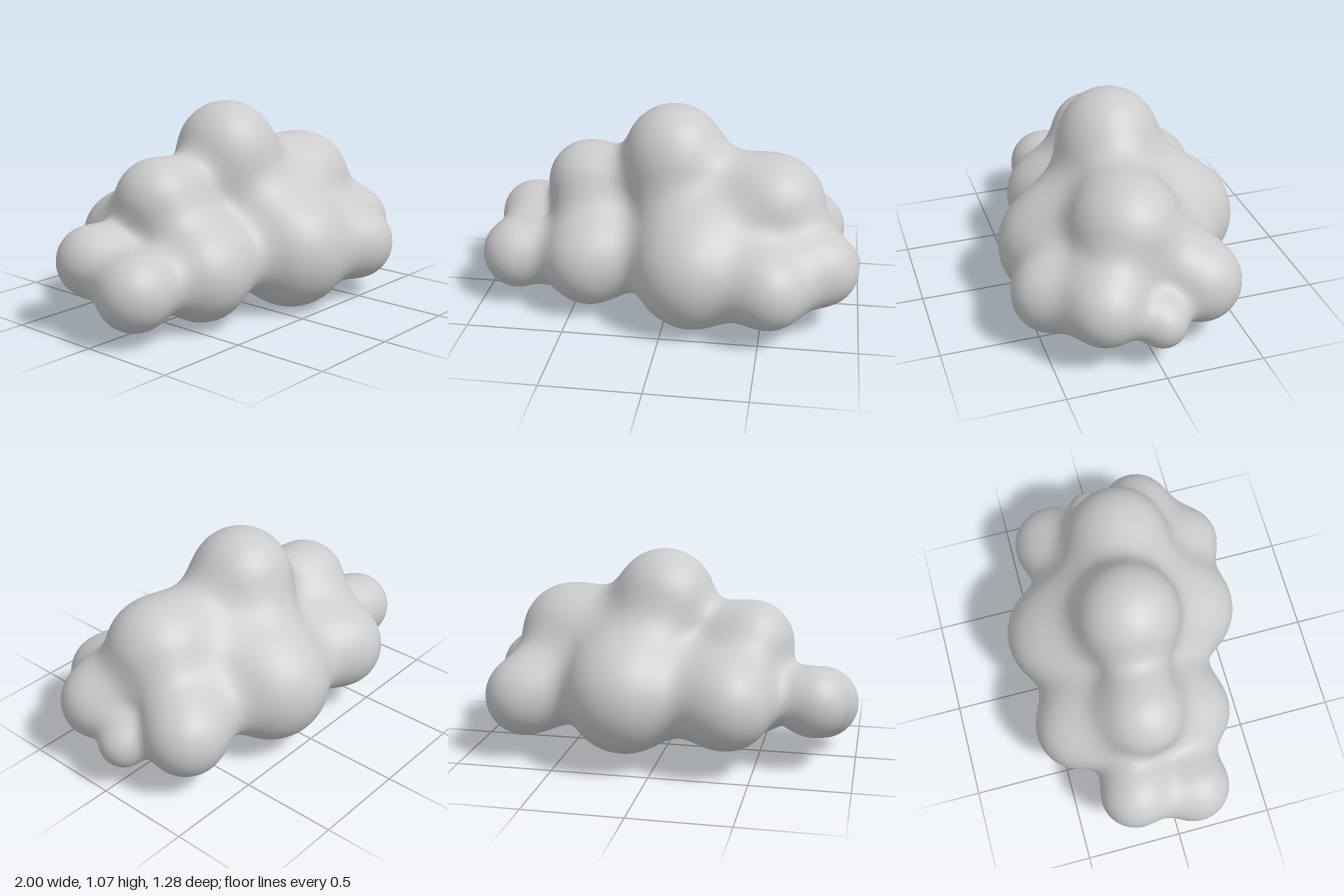
import * as THREE from 'three';

// Puffs of the cloud: x, y, z, radius, blend width
const puffs = [
  [0.08, 0.45, 0.0, 0.3, 0.2],         // core
  [0.42, 0.36, 0.04, 0.22, 0.2],       // core, left
  [-0.36, 0.38, -0.08, 0.21, 0.2],     // core, right
  [0.01, 0.81, -0.02, 0.26, 0.25],     // crown
  [0.53, 0.58, 0.06, 0.272, 0.24],     // upper left
  [-0.45, 0.61, -0.07, 0.22, 0.17],    // upper right
  [0.15, 0.31, 0.3, 0.308, 0.2],       // front middle
  [0.15, 0.38, -0.34, 0.3, 0.24],      // back middle
  [-0.41, 0.28, 0.18, 0.248, 0.19],    // front right
  [-0.37, 0.37, -0.38, 0.23, 0.21],    // back right
  [0.54, 0.29, 0.44, 0.2, 0.17],       // front left
  [0.7, 0.32, -0.27, 0.208, 0.21],     // back left
  [0.79, 0.33, 0.24, 0.195, 0.17],     // left end
  [-0.81, 0.255, 0.12, 0.19, 0.15],    // right end, front
  [-0.79, 0.35, -0.19, 0.18, 0.15],    // right end, back
  [0.875, 0.24, -0.015, 0.123, 0.1],   // small left tip
];

// Distance to the smoothly blended puffs
function field(x, y, z) {
  let d = 10;
  for (const [px, py, pz, r, blend] of puffs) {
    const e = Math.hypot(x - px, y - py, z - pz) - r;
    const h = Math.max(blend - Math.abs(d - e), 0) / blend;
    d = Math.min(d, e) - h * h * blend * 0.25;
  }
  return d;
}

function gradient([x, y, z]) {
  const e = 0.004;
  return new THREE.Vector3(
    field(x + e, y, z) - field(x - e, y, z),
    field(x, y + e, z) - field(x, y - e, z),
    field(x, y, z + e) - field(x, y, z - e),
  ).divideScalar(2 * e);
}

// Skin the field: one vertex per crossed cell, one quad per crossed grid edge
function skin(min, size, step) {
  const n = size.map((s) => Math.ceil(s / step) + 1);
  const stride = [1, n[0], n[0] * n[1]];
  const at = (i, j, k) => i + j * stride[1] + k * stride[2];
  const values = new Float32Array(n[0] * n[1] * n[2]);
  for (let k = 0; k < n[2]; k++)
    for (let j = 0; j < n[1]; j++)
      for (let i = 0; i < n[0]; i++)
        values[at(i, j, k)] = field(min[0] + i * step, min[1] + j * step, min[2] + k * step);

  const positions = [], normals = [], indices = [];
  const cellVertex = new Map();
  for (let k = 0; k < n[2] - 1; k++)
    for (let j = 0; j < n[1] - 1; j++)
      for (let i = 0; i < n[0] - 1; i++) {
        let inside = 0;
        for (let c = 0; c < 8; c++)
          if (values[at(i + (c & 1), j + ((c >> 1) & 1), k + (c >> 2))] < 0) inside++;
        if (inside === 0 || inside === 8) continue;
        // start at the cell centre and slide onto the surface
        const p = [i, j, k].map((v, a) => min[a] + (v + 0.5) * step);
        for (let s = 0; s < 4; s++) {
          const g = gradient(p);
          const t = field(...p) / Math.max(g.lengthSq(), 0.2);
          p[0] -= g.x * t;
          p[1] -= g.y * t;
          p[2] -= g.z * t;
        }
        cellVertex.set(at(i, j, k), positions.length / 3);
        positions.push(...p);
        normals.push(...gradient(p).normalize().toArray());
      }

  for (let k = 1; k < n[2] - 1; k++)
    for (let j = 1; j < n[1] - 1; j++)
      for (let i = 1; i < n[0] - 1; i++) {
        const o = at(i, j, k);
        for (let a = 0; a < 3; a++) {
          const inA = values[o] < 0, inB = values[o + stride[a]] < 0;
          if (inA === inB) continue;
          const b = stride[(a + 1) % 3], c = stride[(a + 2) % 3];
          const q = [o - b - c, o - c, o, o - b].map((id) => cellVertex.get(id));
          if (!inA) q.reverse();
          indices.push(q[0], q[1], q[2], q[0], q[2], q[3]);
        }
      }

  const geometry = new THREE.BufferGeometry();
  geometry.setAttribute('position', new THREE.Float32BufferAttribute(positions, 3));
  geometry.setAttribute('normal', new THREE.Float32BufferAttribute(normals, 3));
  geometry.setIndex(indices);
  return geometry;
}

export function createModel() {
  const group = new THREE.Group();
  group.name = 'cloud';
  const material = new THREE.MeshStandardMaterial({ color: 0xcccccc });
  const body = new THREE.Mesh(skin([-1.1, -0.1, -0.75], [2.2, 1.27, 1.5], 0.025), material);
  body.name = 'cloudBody';
  group.add(body);
  return group;
}
